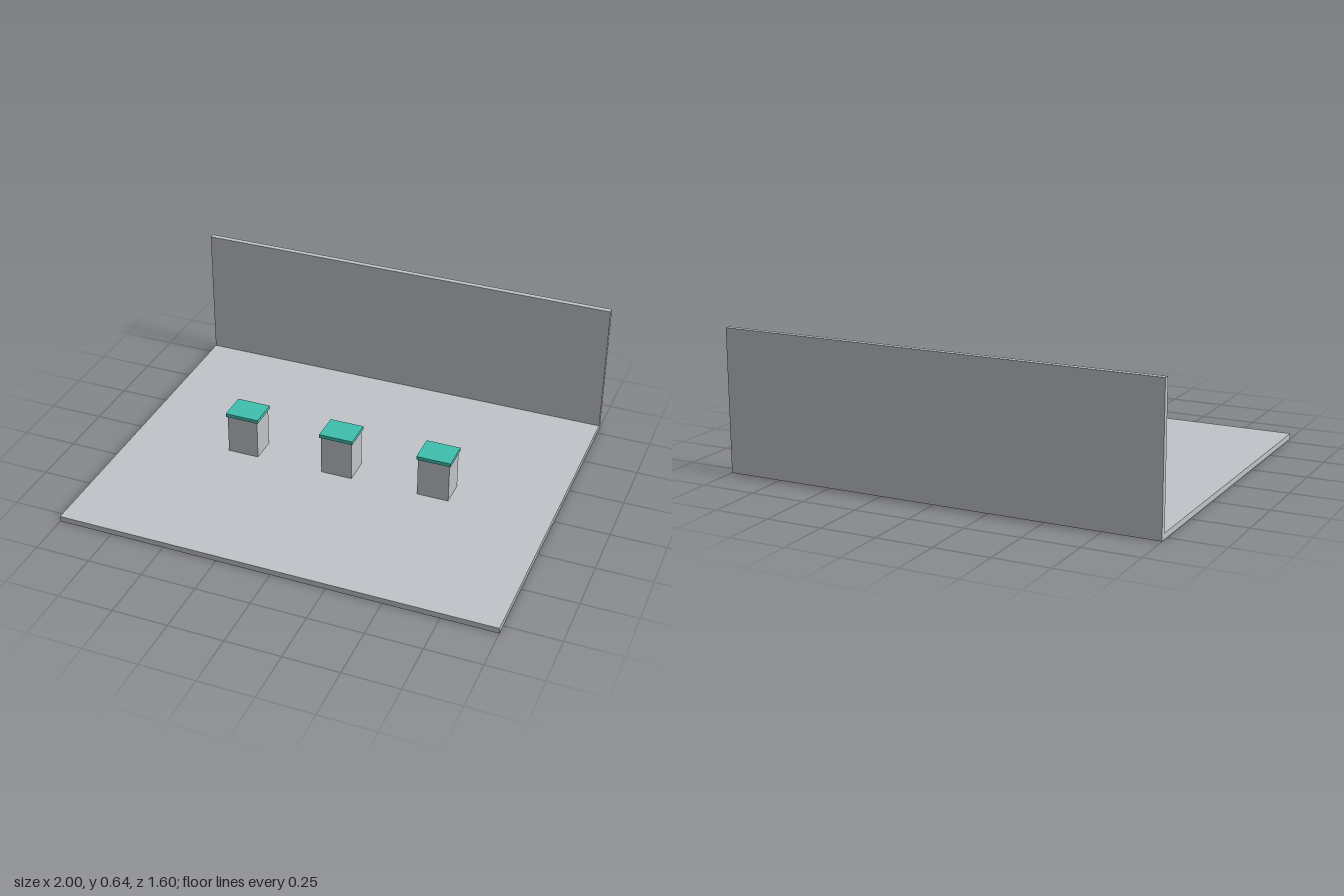
import * as THREE from 'three';

const material = (name, color) => {
  const m = new THREE.MeshStandardMaterial({ color });
  m.name = name;
  return m;
};

export function createModel() {
  const grey = material('light grey', 0xc0c3c8);
  const teal = material('teal', 0x40bfae);

  const model = new THREE.Group();
  model.name = 'displayRoom';

  // Box placed by the height of its underside
  const box = (name, parent, mat, [w, h, d], [x, bottom, z]) => {
    const mesh = new THREE.Mesh(new THREE.BoxGeometry(w, h, d), mat);
    mesh.name = name;
    mesh.position.set(x, bottom + h / 2, z);
    parent.add(mesh);
  };

  // Floor slab and the wall along its back edge
  const slab = 0.026;
  box('floor', model, grey, [2, slab, 1.6], [0, 0, 0]);
  box('backWall', model, grey, [2, 0.643 - slab, slab], [0, slab, -0.8 + slab / 2]);

  // Row of three pedestals with overhanging caps
  ['right', 'middle', 'left'].forEach((side, i) => {
    const pedestal = new THREE.Group();
    pedestal.name = `${side}Pedestal`;
    pedestal.position.x = (i - 1) * 0.46;
    box('pedestalBody', pedestal, grey, [0.146, 0.187, 0.124], [0, slab, 0]);
    box('pedestalCap', pedestal, teal, [0.158, 0.017, 0.136], [0, 0.213, 0]);
    model.add(pedestal);
  });

  return model;
}
